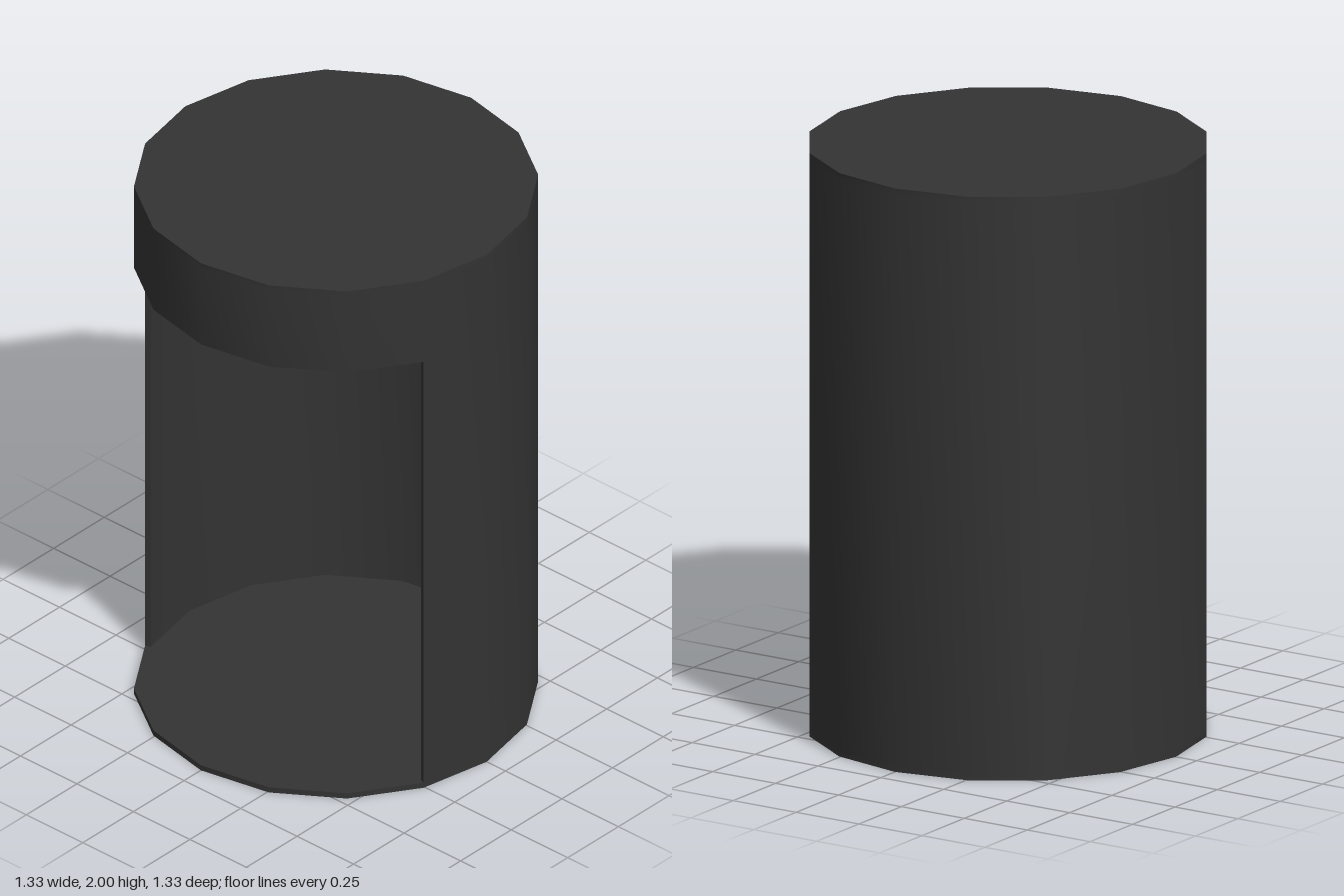
import * as THREE from 'three';
import { toCreasedNormals } from 'three/addons/utils/BufferGeometryUtils.js';

const SIDES = 16;
const RADIUS = 0.667;
const THICK = 0.02;
const INNER = RADIUS - THICK / Math.cos(Math.PI / SIDES);
const HEIGHT = 2;
const OPENING_TOP = 1.68;

const material = new THREE.MeshStandardMaterial({ color: 0x333333 });

function part(name, geometry) {
  const mesh = new THREE.Mesh(toCreasedNormals(geometry, Math.PI / 6), material);
  mesh.name = name;
  return mesh;
}

// Thin curved shell between two corners of the 16-sided plan, from y0 to y1
function shell(name, first, last, y0, y1) {
  const outer = [], inner = [];
  for (let k = first; k <= last; k++) {
    const a = (k / SIDES) * Math.PI * 2;
    const dir = new THREE.Vector2(Math.cos(a), Math.sin(a));
    outer.push(dir.clone().multiplyScalar(RADIUS));
    inner.unshift(dir.clone().multiplyScalar(INNER));
  }
  const geometry = new THREE.ExtrudeGeometry(new THREE.Shape([...outer, ...inner]), {
    depth: y1 - y0, bevelEnabled: false,
  });
  geometry.rotateX(-Math.PI / 2).translate(0, y0, 0);
  return part(name, geometry);
}

// Flat 16-sided plate standing on y0
function plate(name, y0) {
  const geometry = new THREE.CylinderGeometry(RADIUS, RADIUS, THICK, SIDES);
  return part(name, geometry.translate(0, y0 + THICK / 2, 0));
}

export function createModel() {
  const group = new THREE.Group();
  group.name = 'cylindricalBooth';
  group.add(
    plate('floor', 0),
    plate('roof', HEIGHT - THICK),
    // Wall around the sides and back, open at the front
    shell('wall', -1, 9, THICK, HEIGHT - THICK),
    // Band above the front opening
    shell('lintel', 9, 15, OPENING_TOP, HEIGHT - THICK),
  );
  return group;
}
